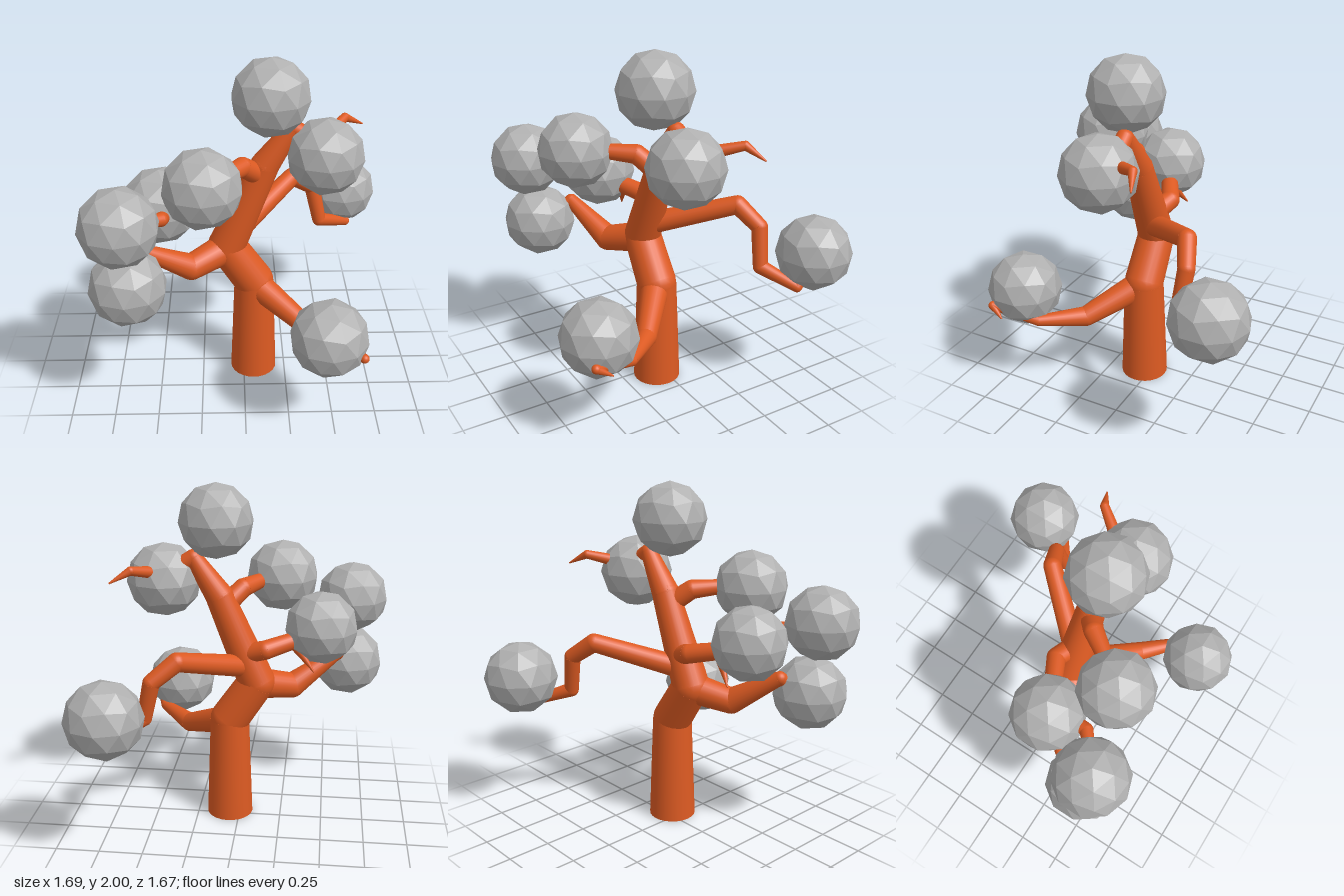
import * as THREE from 'three';

const bark = new THREE.MeshStandardMaterial({ color: 0xdc5a22 });
bark.name = 'orange bark';
const leaf = new THREE.MeshStandardMaterial({ color: 0xb0b0b0, flatShading: true });
leaf.name = 'grey foliage';

// Chain of tapered round segments with ball joints; points are [x, y, z, radius]
function limb(name, points) {
  const group = new THREE.Group();
  group.name = name;
  const up = new THREE.Vector3(0, 1, 0);
  points.forEach((p, i) => {
    const a = new THREE.Vector3(p[0], p[1], p[2]);
    if (i > 0 && i < points.length - 1) {
      const joint = new THREE.Mesh(new THREE.SphereGeometry(p[3], 20, 12), bark);
      joint.name = name + 'Joint';
      joint.position.copy(a);
      group.add(joint);
    }
    const q = points[i + 1];
    if (!q) return;
    const dir = new THREE.Vector3(q[0], q[1], q[2]).sub(a);
    const seg = new THREE.Mesh(new THREE.CylinderGeometry(q[3], p[3], dir.length(), 24), bark);
    seg.name = name + 'Segment';
    seg.position.copy(a).addScaledVector(dir, 0.5);
    seg.quaternion.setFromUnitVectors(up, dir.normalize());
    group.add(seg);
  });
  return group;
}

export function createModel() {
  const tree = new THREE.Group();
  tree.name = 'tree';

  // Crooked trunk, ending in a twig that passes through the upper foliage
  tree.add(limb('trunk', [
    [0.06, 0, 0.045, 0.138], [0.06, 0.62, 0.045, 0.115], [-0.1, 0.86, 0.045, 0.108],
    [0.115, 1.37, 0.045, 0.08], [0.26, 1.59, 0.045, 0.048], [0.42, 1.5, 0.03, 0.04],
    [0.57, 1.56, -0.17, 0.025], [0.68, 1.5, -0.22, 0.004],
  ]));

  // Branches
  tree.add(limb('frontBranch', [
    [0.06, 0.61, 0.05, 0.085], [0.34, 0.47, 0.28, 0.058], [0.53, 0.49, 0.48, 0.032],
    [0.62, 0.57, 0.73, 0.025], [0.65, 0.52, 0.65, 0.004],
  ]));
  tree.add(limb('backBranch', [
    [-0.03, 0.96, 0.03, 0.065], [0.3, 1.11, -0.34, 0.053], [0.43, 1.01, -0.4, 0.047],
    [0.48, 0.79, -0.38, 0.042], [0.66, 0.71, -0.5, 0.03], [0.64, 0.85, -0.61, 0.02],
  ]));
  tree.add(limb('lowerRightBranch', [
    [-0.1, 0.85, 0.05, 0.09], [-0.3, 0.795, 0.17, 0.075], [-0.56, 0.97, 0.28, 0.04],
    [-0.61, 0.87, 0.42, 0.025],
  ]));
  tree.add(limb('middleRightBranch', [
    [0, 1.03, 0.03, 0.06], [-0.15, 1.08, -0.02, 0.055], [-0.42, 1.14, 0.12, 0.045],
    [-0.44, 1.21, 0.36, 0.038], [-0.58, 1.25, 0.48, 0.025],
  ]));
  tree.add(limb('hangingTwig', [[-0.31, 1.1, 0.06, 0.035], [-0.43, 0.95, 0, 0.004]]));
  tree.add(limb('upperRightBranch', [
    [0.09, 1.31, 0.05, 0.06], [-0.01, 1.4, 0.13, 0.055], [-0.17, 1.42, 0.35, 0.035],
  ]));

  // Faceted foliage balls, each with one corner pointing straight up
  const ball = new THREE.IcosahedronGeometry(0.214, 1);
  ball.rotateZ(-Math.atan(1 / ((1 + Math.sqrt(5)) / 2)));
  [
    [0.139, 1.786, 0.1], [0.44, 1.447, 0.1], [-0.221, 1.41, 0.4], [-0.645, 1.256, 0.52],
    [-0.627, 0.863, 0.465], [-0.463, 1.176, 0.134], [0.638, 0.884, -0.624], [0.443, 0.628, 0.623],
  ].forEach((p, i) => {
    const mesh = new THREE.Mesh(ball, leaf);
    mesh.name = 'foliage' + (i + 1);
    mesh.position.set(...p);
    tree.add(mesh);
  });

  return tree;
}
